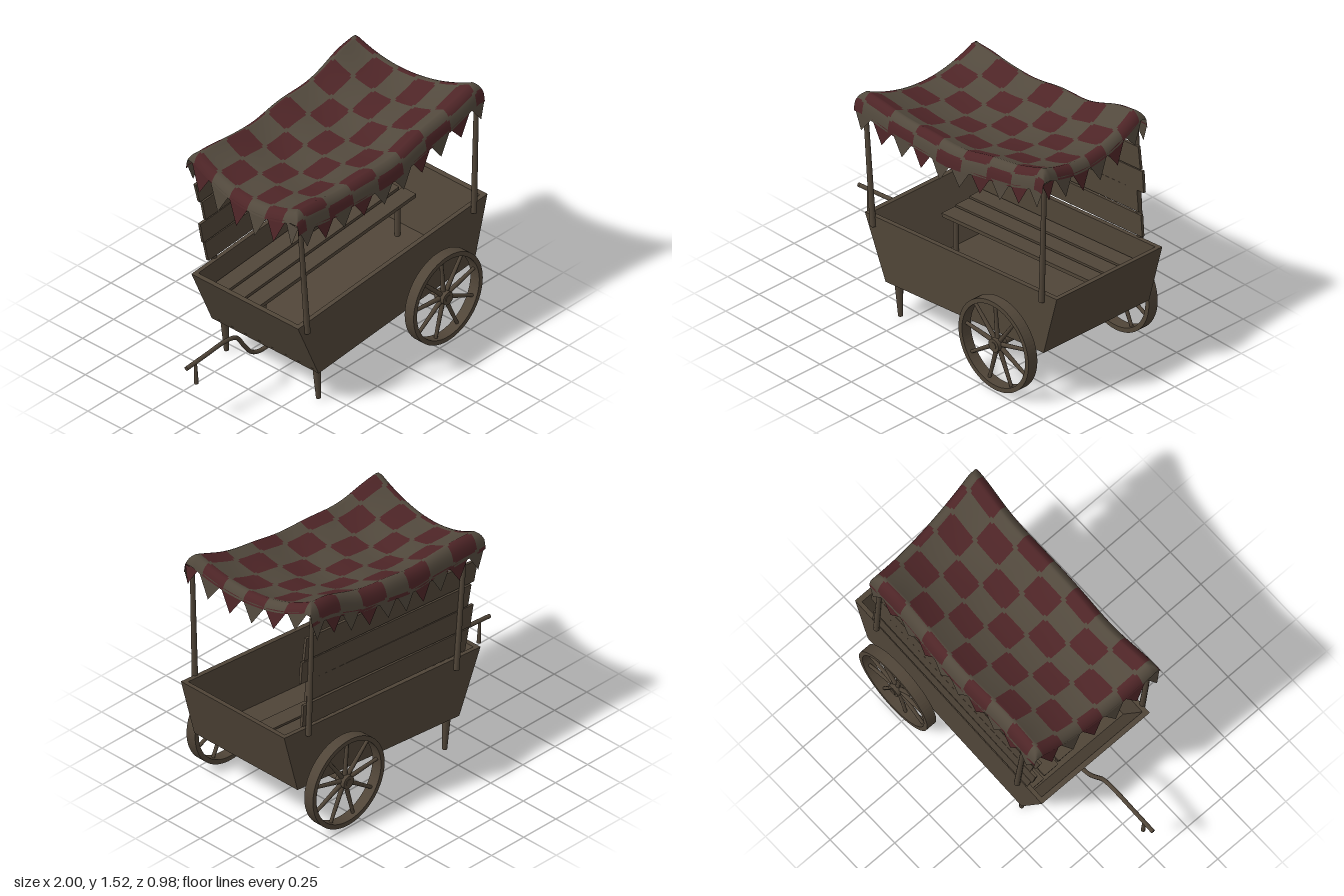
import * as THREE from 'three';

const mat = (name, color, side = THREE.FrontSide) => {
  const m = new THREE.MeshStandardMaterial({ color, side });
  m.name = name;
  return m;
};

export function createModel() {
  const cart = new THREE.Group();
  cart.name = 'marketCart';
  const wood = mat('wood', 0x504538);
  const canvas = mat('canvas', 0x52493d, THREE.DoubleSide);
  const red = mat('red cloth', 0x4e2527, THREE.DoubleSide);

  const add = (geo, name, parent = cart, material = wood) => {
    const m = new THREE.Mesh(geo, material);
    m.name = name;
    parent.add(m);
    return m;
  };
  // Flat board: outline in x/y, extruded from z0 to z1
  const board = (pts, z0, z1, name, parent) => {
    const shape = new THREE.Shape(pts.map(p => new THREE.Vector2(...p)));
    const g = new THREE.ExtrudeGeometry(shape, { depth: z1 - z0, bevelEnabled: false });
    return add(g.translate(0, 0, z0), name, parent);
  };
  // Round rod from a to b with a radius at each end
  const rod = (a, b, ra, rb, name, parent, sides = 12) => {
    const A = new THREE.Vector3(...a), B = new THREE.Vector3(...b);
    const d = B.clone().sub(A);
    const m = add(new THREE.CylinderGeometry(rb, ra, d.length(), sides), name, parent);
    m.position.copy(A).add(B).multiplyScalar(0.5);
    m.quaternion.setFromUnitVectors(new THREE.Vector3(0, 1, 0), d.normalize());
    return m;
  };

  // Open box body with sloping ends and a tilted floor
  const side = [[-0.365, 0.225], [0.893, 0.34], [0.997, 0.73], [-0.53, 0.6]];
  board(side, 0.37, 0.398, 'frontSide');
  board(side, -0.395, -0.37, 'backSide');
  board([[-0.365, 0.225], [-0.335, 0.228], [-0.5, 0.602], [-0.53, 0.6]], -0.37, 0.37, 'rightEndWall');
  board([[0.863, 0.337], [0.893, 0.34], [0.997, 0.73], [0.967, 0.727]], -0.37, 0.37, 'leftEndWall');
  board([[-0.365, 0.225], [0.893, 0.34], [0.898, 0.362], [-0.375, 0.247]], -0.37, 0.37, 'floor');

  // Bench inside the body, set slightly askew
  const bench = new THREE.Group();
  bench.name = 'bench';
  cart.add(bench);
  for (const z of [-0.36, -0.245, -0.13]) {
    const plank = board([[-0.38, 0.457], [0.875, 0.565], [0.875, 0.588], [-0.385, 0.48]], z, z + 0.1, 'benchPlank', bench);
    plank.position.x = (z + 0.245) * 0.1;
  }
  for (const [x, y] of [[-0.3, 0.465], [0.78, 0.555]])
    for (const z of [-0.32, -0.07])
      rod([x, y - 0.235, z], [x, y, z], 0.016, 0.016, 'benchLeg', bench, 8);

  // Slanted slats of the back wall
  const slats = [
    [[-0.41, 0.634], [0.855, 0.735], [0.845, 0.87], [-0.44, 0.767]],
    [[-0.45, 0.773], [0.825, 0.885], [0.813, 1.02], [-0.476, 0.906]],
    [[-0.433, 0.917], [0.866, 1.024], [0.856, 1.158], [-0.46, 1.045]],
    [[-0.48, 1.056], [0.84, 1.163], [0.823, 1.302], [-0.513, 1.185]],
  ];
  slats.forEach(s => board(s, -0.395, -0.378, 'backSlat'));

  // Four canopy posts
  const posts = [
    [[-0.46, 0.545, 0.403], [-0.525, 1.34, 0.403]],
    [[0.882, 0.67, 0.403], [0.904, 1.45, 0.403]],
    [[-0.335, 0.55, -0.402], [-0.4, 1.33, -0.402]],
    [[0.815, 0.67, -0.402], [0.785, 1.42, -0.4]],
  ];
  posts.forEach(([a, b]) => rod(a, b, 0.018, 0.014, 'canopyPost'));

  // Wheels: rim, hub and nine spokes
  const hubX = 0.586, hubY = 0.284, R = 0.279;
  for (const s of [1, -1]) {
    const wheel = new THREE.Group();
    wheel.name = s > 0 ? 'frontWheel' : 'backWheel';
    wheel.position.set(hubX, hubY, s * 0.452);
    cart.add(wheel);
    const ring = new THREE.Shape().absarc(0, 0, R, 0, Math.PI * 2);
    ring.holes.push(new THREE.Path().absarc(0, 0, R - 0.028, 0, Math.PI * 2, true));
    const g = new THREE.ExtrudeGeometry(ring, { depth: 0.066, bevelEnabled: false, curveSegments: 40 });
    add(g.translate(0, 0, -0.033), 'rim', wheel);
    rod([0, 0, -0.034], [0, 0, 0.034], 0.04, 0.04, 'hub', wheel, 20);
    for (let i = 0; i < 9; i++) {
      const a = (15 + i * 40) * Math.PI / 180, c = Math.cos(a), d = Math.sin(a);
      rod([c * 0.03, d * 0.03, 0], [c * 0.26, d * 0.26, 0], 0.014, 0.01, 'spoke', wheel, 8);
    }
  }
  // Axle with collars hung from the floor
  rod([hubX, hubY, -0.49], [hubX, hubY, 0.49], 0.021, 0.021, 'axle', cart, 16);
  for (const z of [-0.168, 0.175]) {
    rod([hubX, hubY, z - 0.017], [hubX, hubY, z + 0.017], 0.028, 0.028, 'axleCollar', cart, 16);
    add(new THREE.BoxGeometry(0.03, 0.045, 0.034), 'axleBracket').position.set(hubX, hubY + 0.025, z);
  }

  // Tapered standing legs
  for (const z of [-0.342, 0.342])
    rod([-0.305, 0.01, z], [-0.32, 0.24, z], 0.014, 0.026, 'standLeg');

  // Curved pull bar with a peg near its end
  const path = new THREE.CatmullRomCurve3([[-1, 0.39], [-0.85, 0.402], [-0.67, 0.414], [-0.595, 0.392],
    [-0.53, 0.305], [-0.475, 0.24], [-0.41, 0.214], [-0.27, 0.222], [-0.1, 0.238]]
    .map(([x, y]) => new THREE.Vector3(x, y, 0)));
  add(new THREE.TubeGeometry(path, 50, 0.0125, 10), 'pullBar');
  rod([-1, 0.39, 0], [-0.985, 0.391, 0], 0.0125, 0.0125, 'pullBarEnd');
  rod([-0.115, 0.237, 0], [-0.1, 0.238, 0], 0.0125, 0.0125, 'pullBarTail');
  rod([-0.918, 0.255, 0], [-0.925, 0.395, 0], 0.013, 0.008, 'pullBarPeg');

  // Canopy: sagging checked cloth, folded over its edges
  const N = 12, stepX = 0.185 / N, stepZ = 0.137 / N;
  const X0 = -0.4975, X1 = X0 + 86 * stepX, Z1 = 33 * stepZ, Z0 = -Z1;
  const hemX = 6, hemZ = 14; // skirt depth in grid steps
  const fold = (v, lo, hi) => {
    const e = Math.max(lo - v, v - hi, 0), h = 0.066 * (1 - Math.exp(-e / 0.066));
    return [v < lo ? lo - h : v > hi ? hi + h : v, e - h * 0.7];
  };
  const bump = d => Math.exp(-d * d / 0.01);
  const cloth = (s, t) => {
    const [x, dx] = fold(s, X0, X1), [z, dz] = fold(t, Z0, Z1);
    const u = THREE.MathUtils.clamp((x - X0) / (X1 - X0), 0, 1);
    const w = THREE.MathUtils.clamp(z / Z1, -1, 1);
    const y = 1.375 + 0.14 * u - 0.075 * (1 - (2 * u - 1) ** 2) - 0.09 * (1 - w * w)
      - 0.018 * w * Math.sin(Math.PI * u) + 0.005 * Math.sin(s * 15 + t * 4)
      + 0.02 * (bump(u - 0.08) + bump(u - 0.92)) * Math.max(0, -w) ** 3; // lifted by the back posts
    const skew = (u * 0.05 - (1 - u) * 0.025) * w;
    return [x + skew, y - Math.max(dx, dz), z + 0.006 * Math.sin(s * 9) * w];
  };
  const pos = [], tan = [], crimson = [];
  const nx = 86 + 2 * hemX, nz = 66 + 2 * hemZ, row = nx + 1;
  for (let j = 0; j <= nz; j++)
    for (let i = 0; i <= nx; i++)
      pos.push(...cloth(X0 + (i - hemX) * stepX, Z0 + (j - hemZ) * stepZ));
  for (let j = 0; j < nz; j++)
    for (let i = 0; i < nx; i++) {
      const cx = (i - hemX - 0.5) / N + 2, cz = (j - hemZ + 0.5) / N + 2;
      const odd = (Math.floor(cx) + Math.floor(cz)) % 2 === 1;
      const fx = (cx % 1) * 2 - 1, fz = (cz % 1) * 2 - 1;
      const isRed = odd && fx ** 6 + (fz * 1.05) ** 6 < 1; // patches with rounded corners
      const a = j * row + i;
      (isRed ? crimson : tan).push(a, a + row, a + 1, a + 1, a + row, a + row + 1);
    }
  // Pennants around the hem; reds lists the red ones
  const pennants = (n, lo, hi, hem, length, reds, at) => {
    for (let k = 0; k < n; k++) {
      const d = (hi - lo) / n, p = lo + k * d, i = pos.length / 3;
      pos.push(...at(p, hem - 0.015), ...at(p + d / 2, hem + length), ...at(p + d, hem - 0.015));
      (reds.includes(k) ? crimson : tan).push(i, i + 1, i + 2);
    }
  };
  const longHem = hemZ * stepZ, endHem = hemX * stepX;
  for (const s of [1, -1])
    pennants(10, X0 - 0.06, X1 + 0.09, longHem, 0.105, [1, 3, 6, 8], (p, e) => cloth(p, s * (Z1 + e)));
  pennants(6, -0.405, 0.483, endHem, 0.115, [1, 3, 5], (p, e) => cloth(X1 + e, p));
  pennants(6, -0.405, 0.483, endHem, 0.145, [0, 2, 4], (p, e) => cloth(X0 - e, p));
  const geo = new THREE.BufferGeometry();
  geo.setAttribute('position', new THREE.Float32BufferAttribute(pos, 3));
  geo.setIndex([...tan, ...crimson]);
  geo.addGroup(0, tan.length, 0);
  geo.addGroup(tan.length, crimson.length, 1);
  geo.computeVertexNormals();
  add(geo, 'canopy', cart, [canvas, red]);

  return cart;
}
